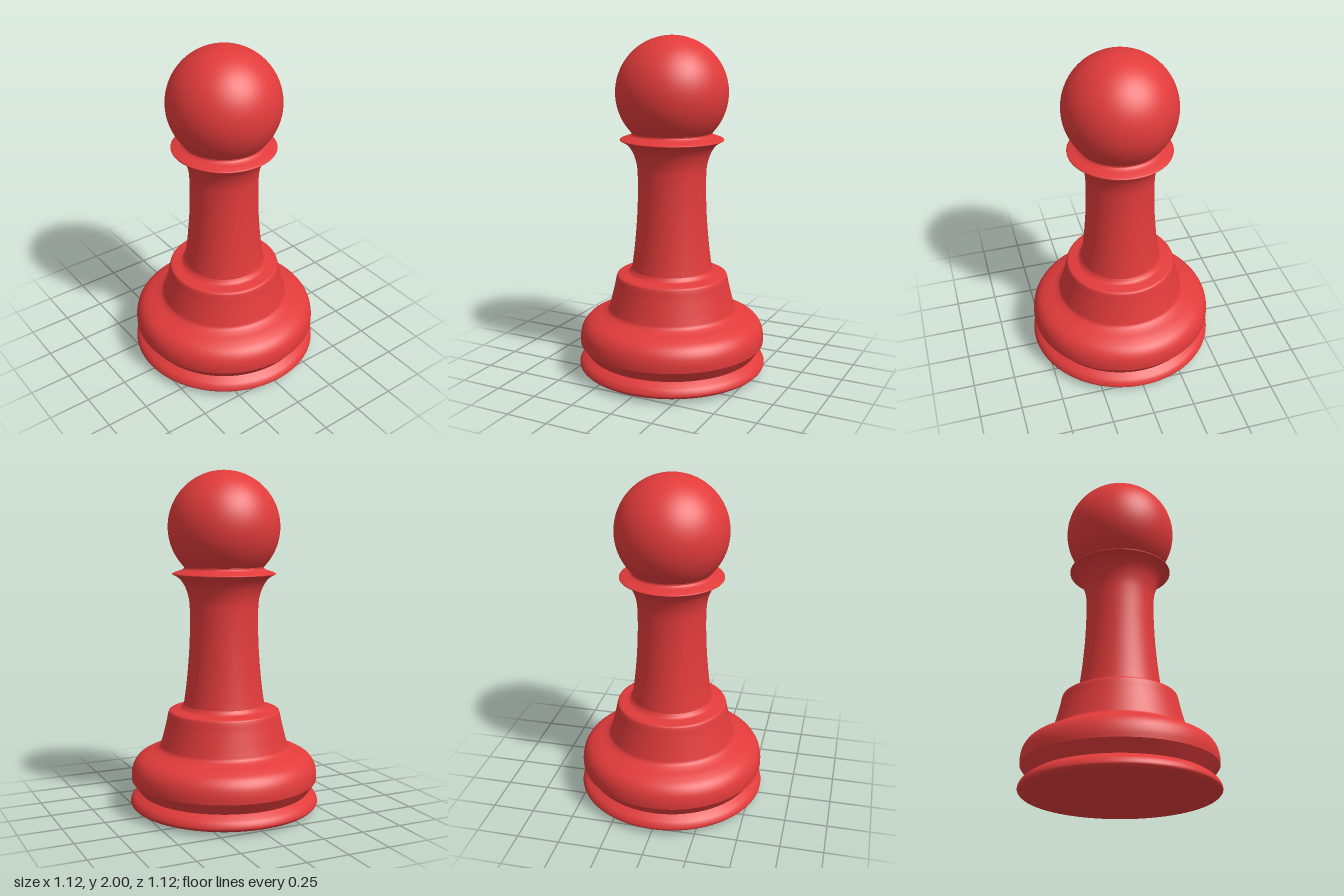
import * as THREE from 'three';

const RED = 0xe23b3b;
const SEGMENTS = 96;

export function createModel() {
  const group = new THREE.Group();
  group.name = 'pawn';
  const material = new THREE.MeshStandardMaterial({ color: RED });

  const add = (name, geometry) => {
    const mesh = new THREE.Mesh(geometry, material);
    mesh.name = name;
    group.add(mesh);
    return mesh;
  };

  // Turns a smooth profile of [radius, height] points, listed from bottom to top
  const turn = (name, profile, smooth = true) => {
    let points = profile.map(([r, y]) => new THREE.Vector2(r, y));
    if (smooth) {
      points = new THREE.SplineCurve(points).getPoints((profile.length - 1) * 5);
      points.forEach((p) => { p.x = Math.max(p.x, 0); });
    }
    return add(name, new THREE.LatheGeometry(points, SEGMENTS));
  };

  // Slightly domed underside and rounded foot ring
  turn('foot', [
    [0, 0], [0.25, 0.004], [0.44, 0.011], [0.53, 0.022], [0.557, 0.037],
    [0.561, 0.053], [0.549, 0.078], [0.528, 0.096], [0.505, 0.112],
  ]);

  // Sharp flared groove above the foot
  turn('groove', [[0.505, 0.112], [0.553, 0.18]], false);

  // Swelling base, rising to the tapered shoulder
  turn('base', [
    [0.553, 0.18], [0.553, 0.225], [0.541, 0.272], [0.512, 0.311],
    [0.465, 0.338], [0.415, 0.358], [0.385, 0.377], [0.374, 0.405],
    [0.358, 0.465], [0.342, 0.53], [0.332, 0.578], [0.322, 0.595],
    [0.29, 0.602], [0.258, 0.61], [0.24, 0.632],
  ]);

  // Waisted stem flaring out under the collar
  turn('stem', [
    [0.24, 0.632], [0.231, 0.69], [0.218, 0.8], [0.206, 0.95], [0.201, 1.08],
    [0.201, 1.19], [0.207, 1.26], [0.226, 1.322], [0.252, 1.365], [0.278, 1.388],
    [0.303, 1.401],
  ]);

  // Thin collar lip
  turn('collar', [
    [0.303, 1.401], [0.301, 1.407], [0.278, 1.416], [0.25, 1.425],
    [0.235, 1.436], [0.233, 1.447], [0.215, 1.458],
  ]);

  // Ball head
  add('head', new THREE.SphereGeometry(0.327, SEGMENTS, 64)).position.y = 1.673;

  return group;
}
